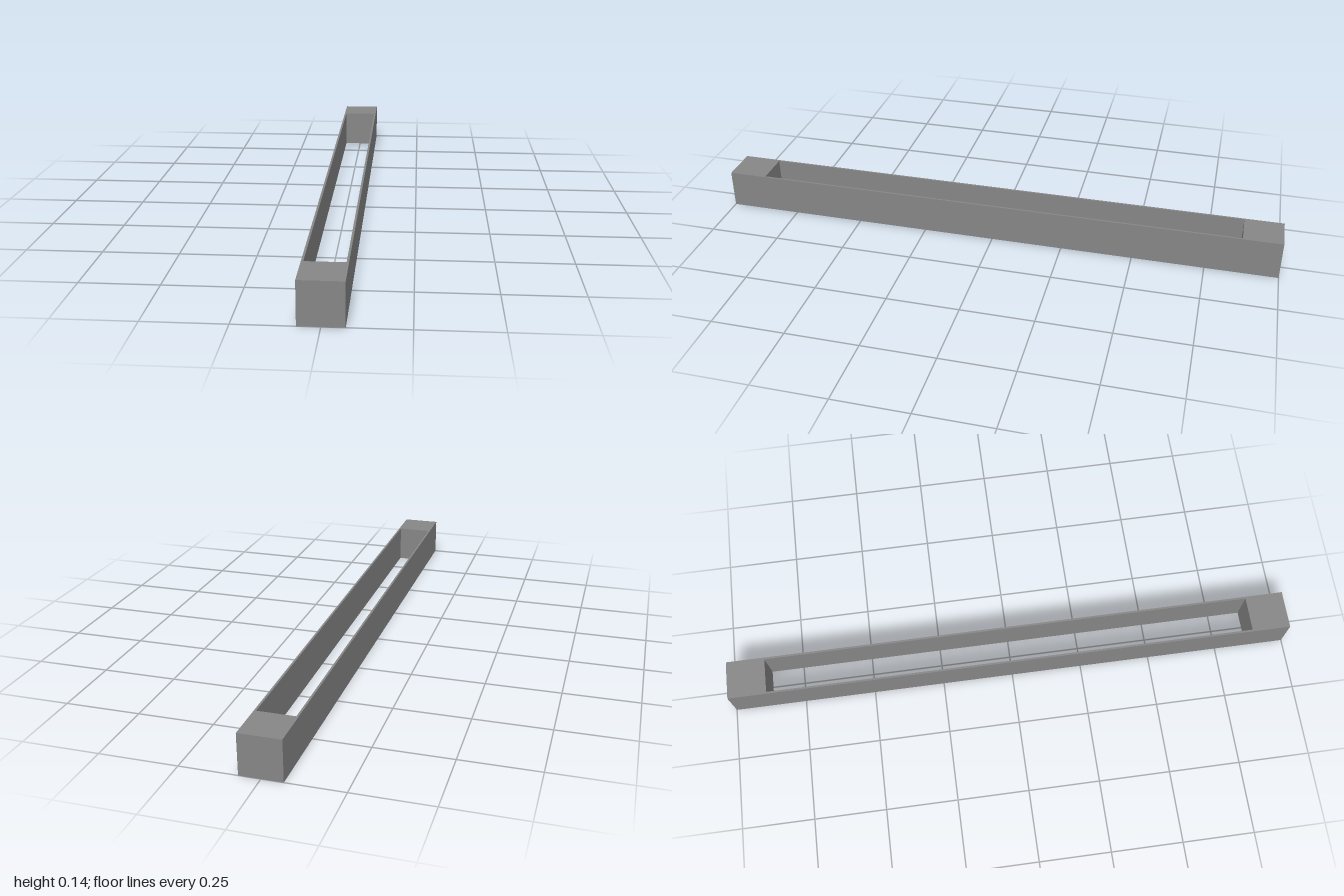
import * as THREE from 'three';

export function createModel() {
  const size = 0.135;       // square section and end block length
  const length = 2;
  const thickness = 0.007;  // side panels
  const span = length - 2 * size;
  const material = new THREE.MeshStandardMaterial({ color: 0x868686, flatShading: true });
  const group = new THREE.Group();
  group.name = 'beamFrame';

  const addBox = (name, w, d, x, z) => {
    const mesh = new THREE.Mesh(new THREE.BoxGeometry(w, size, d), material);
    mesh.name = name;
    mesh.position.set(x, size / 2, z);
    group.add(mesh);
  };

  // Solid cubes closing the two ends
  addBox('frontBlock', size, size, 0, (length - size) / 2);
  addBox('backBlock', size, size, 0, -(length - size) / 2);

  // Thin panels joining the blocks, open above and below
  addBox('leftPanel', thickness, span, (size - thickness) / 2, 0);
  addBox('rightPanel', thickness, span, -(size - thickness) / 2, 0);

  return group;
}
